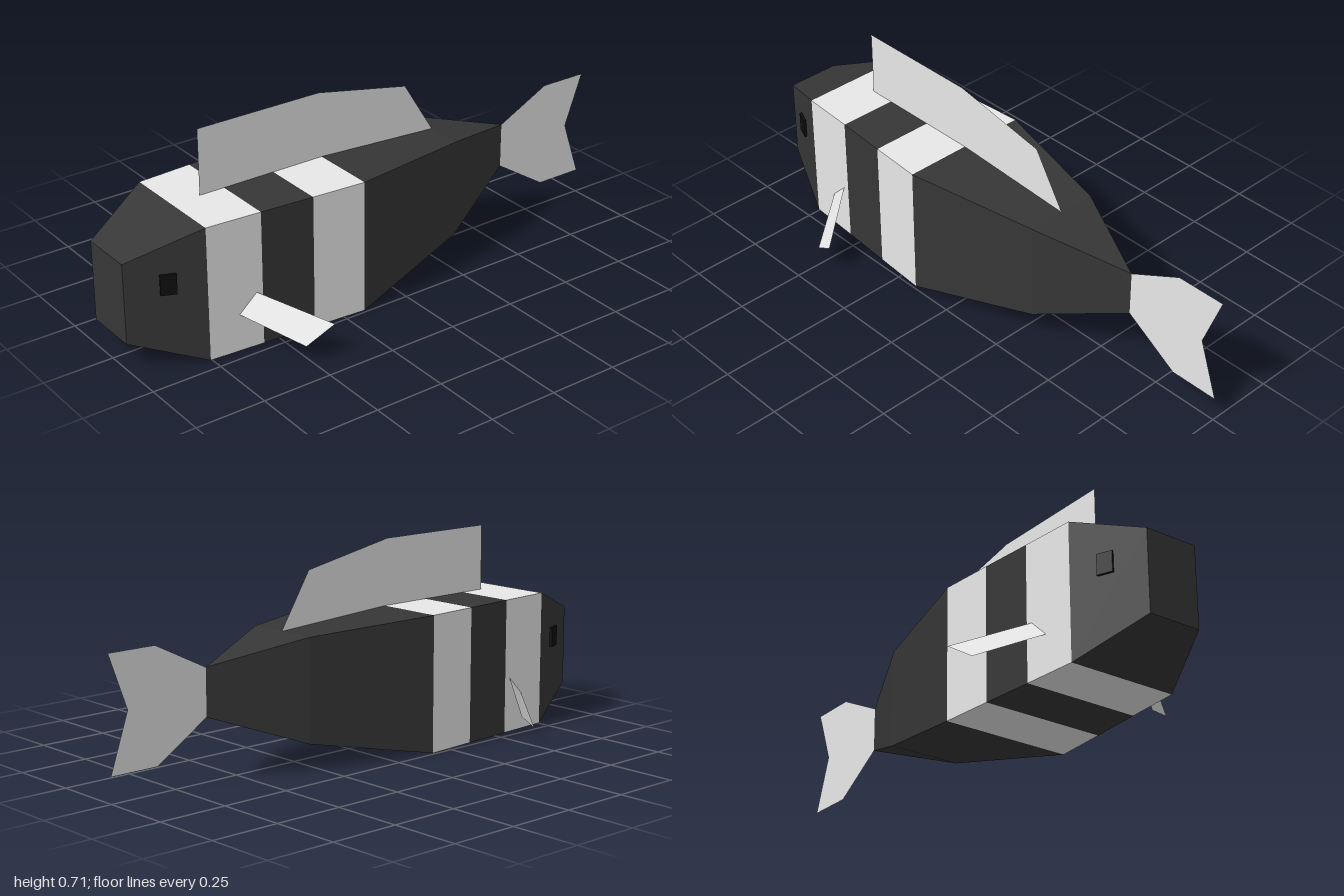
import * as THREE from 'three';

export function createModel() {
  const group = new THREE.Group();
  const material = (name, color, extra = {}) => {
    const m = new THREE.MeshStandardMaterial({ color, ...extra });
    m.name = name;
    return m;
  };
  const dark = material('charcoal', 0x363636);
  const pale = material('white', 0xf2f2f2, { side: THREE.DoubleSide });
  const black = material('black', 0x0f0f0f);

  const add = (name, geometry, mat) => {
    const mesh = new THREE.Mesh(geometry, mat);
    mesh.name = name;
    group.add(mesh);
    return mesh;
  };

  // Flat-shaded geometry from four-cornered faces
  const fromQuads = (quads) => {
    const pos = [];
    for (const [a, b, c, d] of quads) pos.push(...a, ...b, ...c, ...a, ...c, ...d);
    const g = new THREE.BufferGeometry();
    g.setAttribute('position', new THREE.Float32BufferAttribute(pos, 3));
    g.computeVertexNormals();
    return g;
  };

  // Body stations: z, half width, bottom, top
  const stations = [
    [1.0, 0.097, 0.098, 0.385],
    [0.755, 0.2, 0, 0.48],
    [0.557, 0.213, 0, 0.48],
    [0.365, 0.227, 0, 0.48],
    [0.17, 0.24, 0, 0.48],
    [-0.3, 0.135, 0.095, 0.453],
    [-0.62, 0, 0.215, 0.38],
  ];
  const rings = stations.map(([z, w, b, t]) => [[-w, b, z], [w, b, z], [w, t, z], [-w, t, z]]);
  const band = (front, back) => front.map((p, i) => {
    const j = (i + 1) % 4;
    return [p, back[i], back[j], front[j]];
  });

  // Body split into coloured bands, the head closed by a flat snout
  const names = ['head', 'frontStripe', 'middleBand', 'rearStripe', 'rearBody', 'tailBase'];
  names.forEach((name, i) => {
    const quads = band(rings[i], rings[i + 1]);
    if (i === 0) quads.push(rings[0]);
    add(name, fromQuads(quads), name.endsWith('Stripe') ? pale : dark);
  });

  // Upright fins drawn as (z, y) outlines on the centre plane
  const uprightFin = (name, outline) => {
    const shape = new THREE.Shape(outline.map(([z, y]) => new THREE.Vector2(z, y)));
    add(name, new THREE.ShapeGeometry(shape).rotateY(-Math.PI / 2), pale);
  };
  uprightFin('dorsalFin', [
    [0.65, 0.48], [0.65, 0.715], [0.18, 0.715], [-0.18, 0.645], [-0.3, 0.453], [0.17, 0.48],
  ]);
  uprightFin('tailFin', [
    [-0.62, 0.38], [-0.82, 0.48], [-1, 0.48], [-0.93, 0.29], [-1, 0.088], [-0.82, 0.088], [-0.62, 0.215],
  ]);

  // Paired side fins and eyes
  const cheekAngle = Math.atan2(0.103, 0.245);
  for (const s of [1, -1]) {
    const side = s > 0 ? 'left' : 'right';
    const corners = [
      [s * 0.212, 0.197, 0.58], [s * 0.208, 0.134, 0.645],
      [s * 0.393, 0.058, 0.515], [s * 0.418, 0.12, 0.42],
    ];
    // Both fins keep their upper face outermost
    if (s < 0) corners.reverse();
    add(side + 'PectoralFin', fromQuads([corners]), pale);

    const eye = add(side + 'Eye', new THREE.BoxGeometry(0.009, 0.072, 0.054), black);
    eye.position.set(s * 0.157, 0.299, 0.872);
    eye.rotation.y = -s * cheekAngle;
  }
  return group;
}
